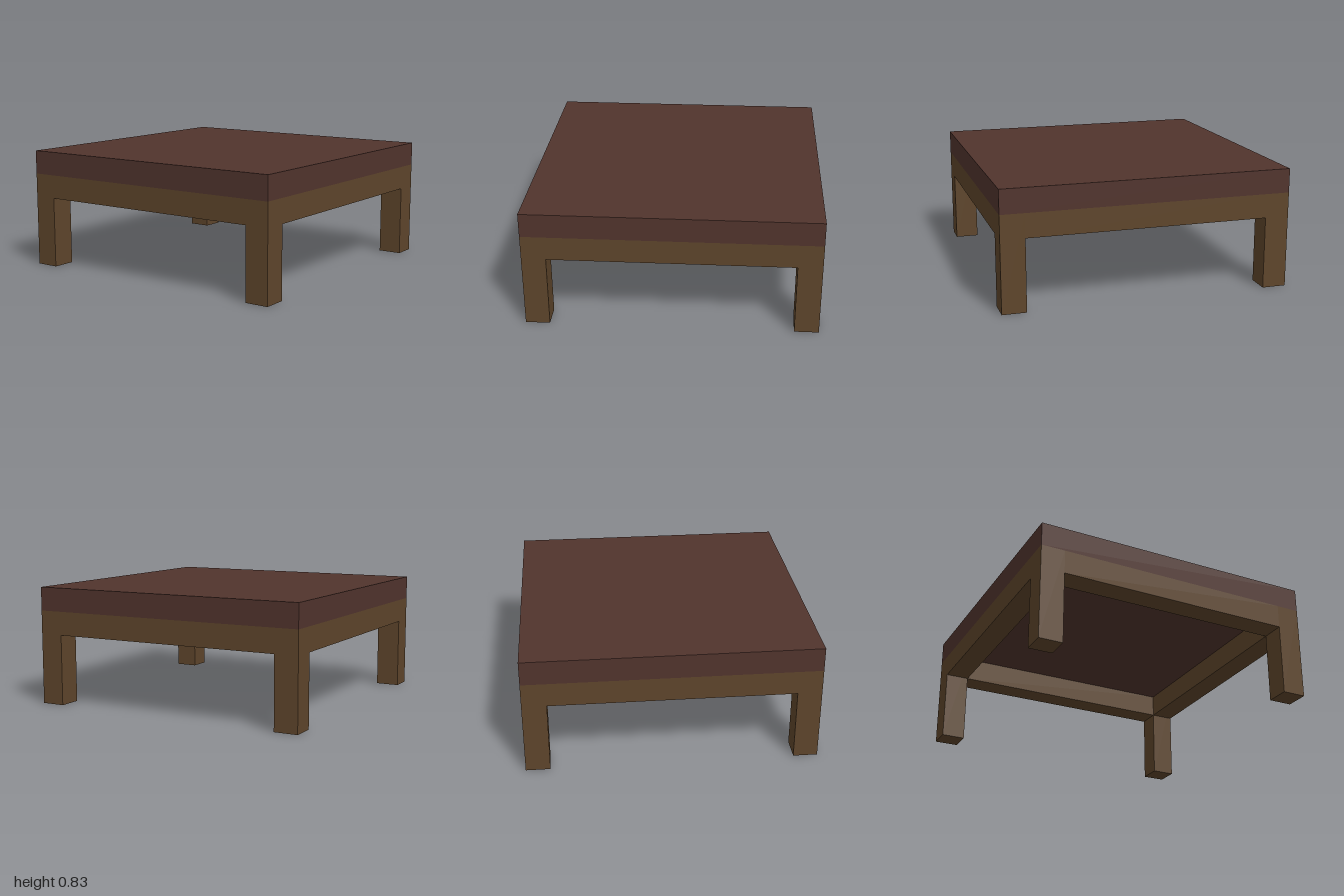
import * as THREE from 'three';

const U = 1 / 6; // thickness shared by the slab, rails and legs

export function createModel() {
  const table = new THREE.Group();
  table.name = 'lowTable';

  const topWood = new THREE.MeshStandardMaterial({ color: 0x51342d });
  topWood.name = 'darkRedWood';
  const frameWood = new THREE.MeshStandardMaterial({ color: 0x5e452b });
  frameWood.name = 'brownWood';

  const addBox = (name, size, position, material) => {
    const mesh = new THREE.Mesh(new THREE.BoxGeometry(...size), material);
    mesh.name = name;
    mesh.position.set(...position);
    table.add(mesh);
  };

  // Square slab on top
  addBox('tabletop', [2, U, 2], [0, 4.5 * U, 0], topWood);

  const edge = 1 - U / 2; // centre line of legs and rails
  const span = 2 - 2 * U; // rail length between legs
  for (const s of [1, -1]) {
    // Rails under the slab, flush with its edges
    addBox(s > 0 ? 'frontRail' : 'backRail', [span, U, U], [0, 3.5 * U, s * edge], frameWood);
    addBox(s > 0 ? 'leftRail' : 'rightRail', [U, U, span], [s * edge, 3.5 * U, 0], frameWood);

    // Corner legs reaching up to the slab
    for (const f of [1, -1]) {
      const name = (f > 0 ? 'front' : 'back') + (s > 0 ? 'Left' : 'Right') + 'Leg';
      addBox(name, [U, 4 * U, U], [s * edge, 2 * U, f * edge], frameWood);
    }
  }
  return table;
}
